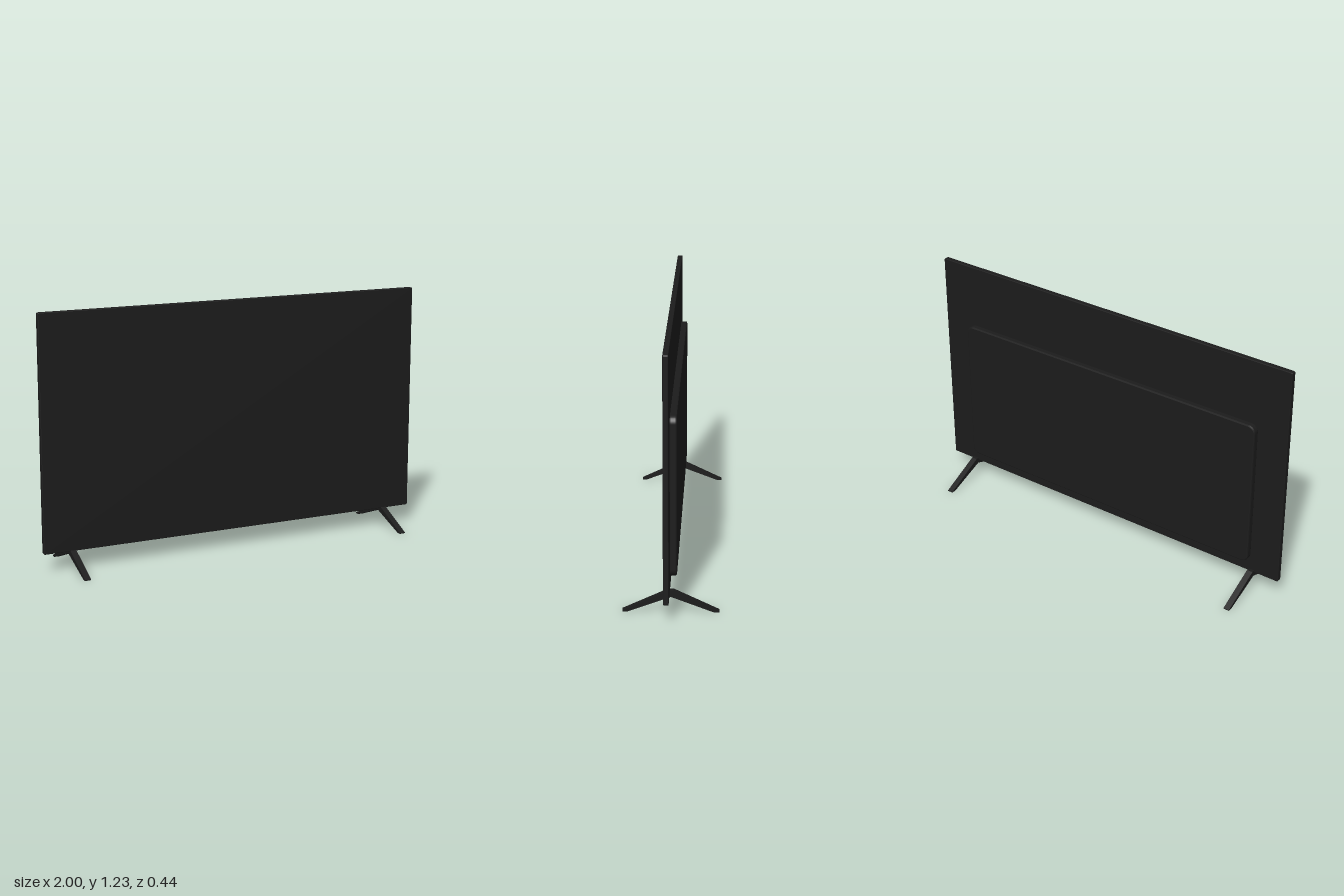
import * as THREE from 'three';

function roundedRect(w, h, r) {
  const s = new THREE.Shape(), x = w / 2, y = h / 2;
  s.absarc(x - r, y - r, r, 0, Math.PI / 2);
  s.absarc(-x + r, y - r, r, Math.PI / 2, Math.PI);
  s.absarc(-x + r, -y + r, r, Math.PI, Math.PI * 1.5);
  s.absarc(x - r, -y + r, r, Math.PI * 1.5, Math.PI * 2);
  s.closePath();
  return s;
}

// Rounded slab with a small bevel, spanning z0..z1
function slab(name, w, h, r, cy, z0, z1, bevel, material) {
  const geo = new THREE.ExtrudeGeometry(roundedRect(w - 2 * bevel, h - 2 * bevel, r), {
    depth: z1 - z0 - 2 * bevel, bevelEnabled: true, bevelThickness: bevel,
    bevelSize: bevel, bevelSegments: 2, curveSegments: 6,
  });
  const mesh = new THREE.Mesh(geo, material);
  mesh.name = name;
  mesh.position.set(0, cy, z0 + bevel);
  return mesh;
}

export function createModel() {
  const group = new THREE.Group();
  group.name = 'television';
  const black = new THREE.MeshStandardMaterial({ color: 0x1c1c1c });
  black.name = 'matte black';

  // Thin display panel and the raised housing behind it
  group.add(slab('displayPanel', 2, 1.14, 0.004, 0.66, 0.005, 0.03, 0.003, black));
  group.add(slab('rearHousing', 1.69, 0.755, 0.03, 0.5325, -0.026, 0.008, 0.006, black));

  // Splayed V feet: profile in z and y, extruded across the width
  const profile = new THREE.Shape([
    [0.218, 0], [0.218, 0.004], [0.012, 0.102], [-0.012, 0.102], [-0.218, 0.004], [-0.218, 0],
    [-0.195, 0], [0, 0.074], [0.195, 0],
  ].map(([z, y]) => new THREE.Vector2(z, y)));
  const width = 0.03;
  const footGeo = new THREE.ExtrudeGeometry(profile, { depth: width, bevelEnabled: false });
  footGeo.translate(0, 0, -width / 2);
  footGeo.rotateY(-Math.PI / 2);
  for (const side of [1, -1]) {
    const foot = new THREE.Mesh(footGeo, black);
    foot.name = side > 0 ? 'leftFoot' : 'rightFoot';
    foot.position.x = side * 0.855;
    group.add(foot);
  }
  return group;
}
